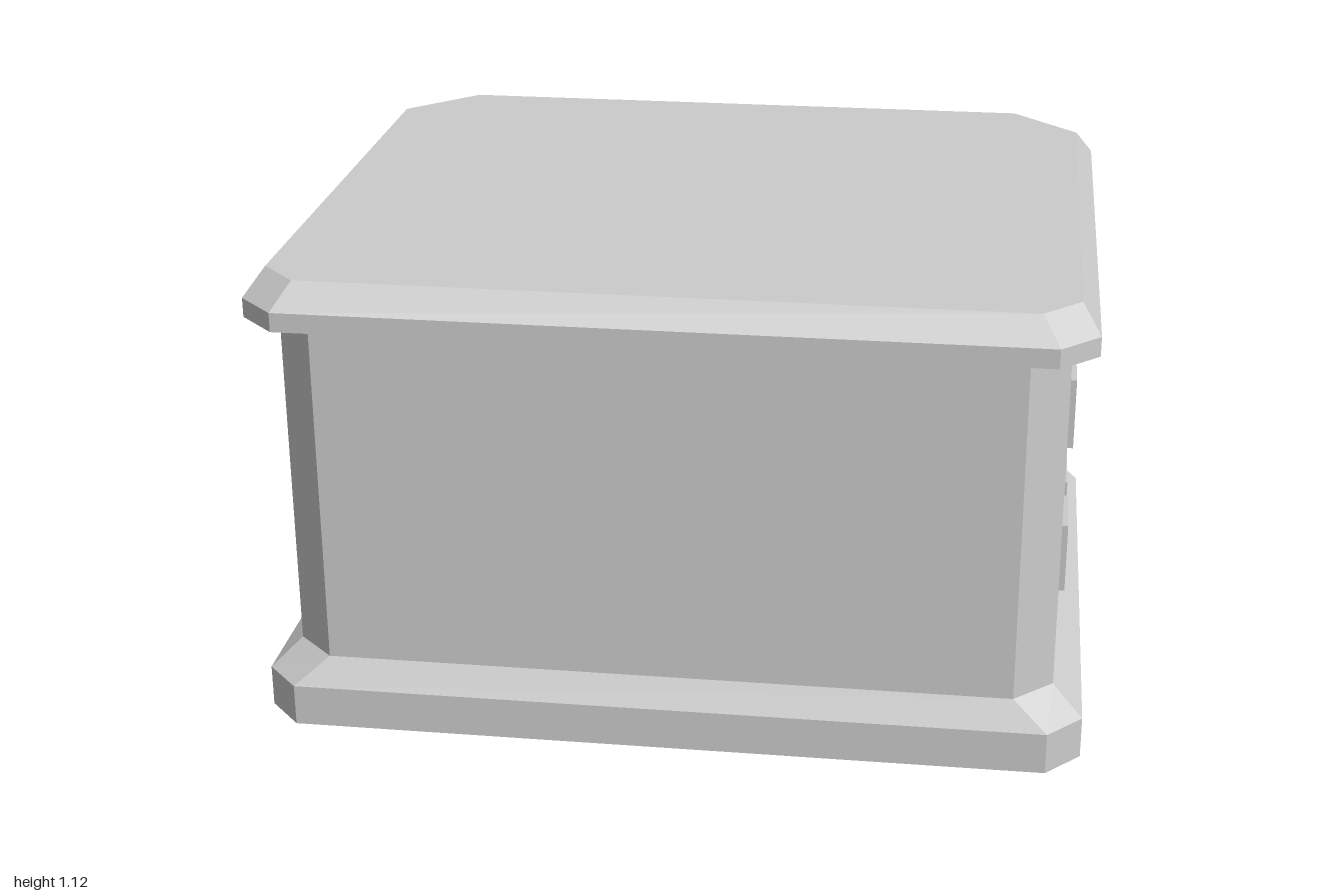
import * as THREE from 'three';
import { toCreasedNormals } from 'three/addons/utils/BufferGeometryUtils.js';

const grey = new THREE.MeshStandardMaterial({ color: 0xcccccc });

function part(geometry, name, parent) {
  const mesh = new THREE.Mesh(geometry, grey);
  mesh.name = name;
  parent.add(mesh);
  return mesh;
}

// Completes a right-hand half outline of [x, z] points with its mirror image
const mirrored = (half) => [...half, ...half.map(([x, z]) => [-x, z]).reverse()];

// Lofts symmetric outlines stacked at given heights, capped at both ends
function loft(levels) {
  const rings = levels.map(([y, half]) => mirrored(half).map(([x, z]) => [x, y, z]));
  const n = rings[0].length, pos = [];
  const tri = (a, b, c) => pos.push(...a, ...b, ...c);
  for (let k = 0; k < rings.length - 1; k++) {
    const lo = rings[k], hi = rings[k + 1];
    for (let i = 0; i < n; i++) {
      const j = (i + 1) % n;
      tri(lo[i], lo[j], hi[j]);
      tri(lo[i], hi[j], hi[i]);
    }
  }
  const bottom = rings[0], top = rings[rings.length - 1];
  for (let i = 1; i < n - 1; i++) {
    tri(top[0], top[i], top[i + 1]);
    tri(bottom[0], bottom[i + 1], bottom[i]);
  }
  const g = new THREE.BufferGeometry();
  g.setAttribute('position', new THREE.Float32BufferAttribute(pos, 3));
  g.computeVertexNormals();
  return g;
}

function rectangle(Type, w, h) {
  const s = new Type();
  s.moveTo(-w / 2, -h / 2);
  s.lineTo(w / 2, -h / 2);
  s.lineTo(w / 2, h / 2);
  s.lineTo(-w / 2, h / 2);
  s.closePath();
  return s;
}

// Raised frame with a slightly recessed panel, facing +z from the wall plane
function framedPanel(name, w, h, depth, border) {
  const group = new THREE.Group();
  group.name = name;
  const shape = rectangle(THREE.Shape, w, h);
  shape.holes.push(rectangle(THREE.Path, w - 2 * border, h - 2 * border));
  part(new THREE.ExtrudeGeometry(shape, { depth, bevelEnabled: false }), name + 'Frame', group);
  part(new THREE.BoxGeometry(w - 2 * border, h - 2 * border, depth * 0.6), name + 'Panel', group)
    .position.z = depth * 0.3;
  return group;
}

export function createModel() {
  const model = new THREE.Group();
  model.name = 'building';

  // Plinth with sloped upper edge
  const plinthOuter = [[0.88, 0.96], [0.96, 0.875], [0.96, -0.46], [0.79, -0.625], [0.155, -0.65]];
  const plinthTop = [[0.8, 0.92], [0.89, 0.835], [0.89, -0.455], [0.755, -0.585], [0.155, -0.605]];
  part(loft([[0, plinthOuter], [0.1, plinthOuter], [0.165, plinthTop]]), 'plinth', model);

  // Main block, chamfered at the front corners only
  const wall = [[0.8, 0.92], [0.89, 0.835], [0.89, -0.17]];
  part(loft([[0.165, wall], [1.01, wall]]), 'walls', model);

  // Overhanging roof slab
  const roofOuter = [[0.86, 1.0], [0.947, 0.915], [0.947, -0.465], [0.79, -0.63]];
  const roofTop = [[0.82, 0.95], [0.905, 0.865], [0.905, -0.425], [0.74, -0.59]];
  part(loft([[1.01, roofOuter], [1.055, roofOuter], [1.115, roofTop]]), 'roof', model);

  // Worn steps: side profile of [distance behind centre, height], extruded across
  const profile = [[0.6, 0], [1, 0], [1, 0.025], [0.975, 0.05], [0.935, 0.05], [0.91, 0.08],
    [0.85, 0.08], [0.81, 0.125], [0.755, 0.125], [0.71, 0.166], [0.6, 0.166]];
  const stepShape = new THREE.Shape(profile.map(([d, y]) => new THREE.Vector2(d, y)));
  const steps = new THREE.ExtrudeGeometry(stepShape, { depth: 0.31, bevelEnabled: false });
  steps.translate(0, 0, -0.155).rotateY(Math.PI / 2);
  part(steps, 'steps', model);

  // Portico columns with ring base and capital
  const columnProfile = [[0, 0.165], [0.1, 0.165], [0.1, 0.213], [0.092, 0.225], [0.083, 0.225],
    [0.083, 0.95], [0.092, 0.95], [0.1, 0.962], [0.1, 1.01], [0, 1.01]]
    .map(([r, y]) => new THREE.Vector2(r, y));
  const column = toCreasedNormals(new THREE.LatheGeometry(columnProfile, 32), 0.5);
  for (const x of [-0.68, -0.295, 0.295, 0.68]) {
    part(column, 'column', model).position.set(x, 0, -0.355);
  }

  // Two storeys of windows on both sides and behind the portico
  for (const y of [0.443, 0.802]) {
    for (const side of [-1, 1]) {
      for (const z of [0.665, 0.427, 0.203, -0.023]) {
        const w = framedPanel('sideWindow', 0.165, 0.165, 0.016, 0.009);
        w.position.set(side * 0.89, y, z);
        w.rotation.y = side * Math.PI / 2;
        model.add(w);
      }
      const w = framedPanel('porchWindow', 0.165, 0.165, 0.026, 0.009);
      w.position.set(side * 0.49, y, -0.17);
      w.rotation.y = Math.PI;
      model.add(w);
    }
  }

  // Entrance door
  const door = framedPanel('door', 0.35, 0.405, 0.018, 0.012);
  door.position.set(0, 0.3675, -0.17);
  door.rotation.y = Math.PI;
  model.add(door);

  return model;
}
